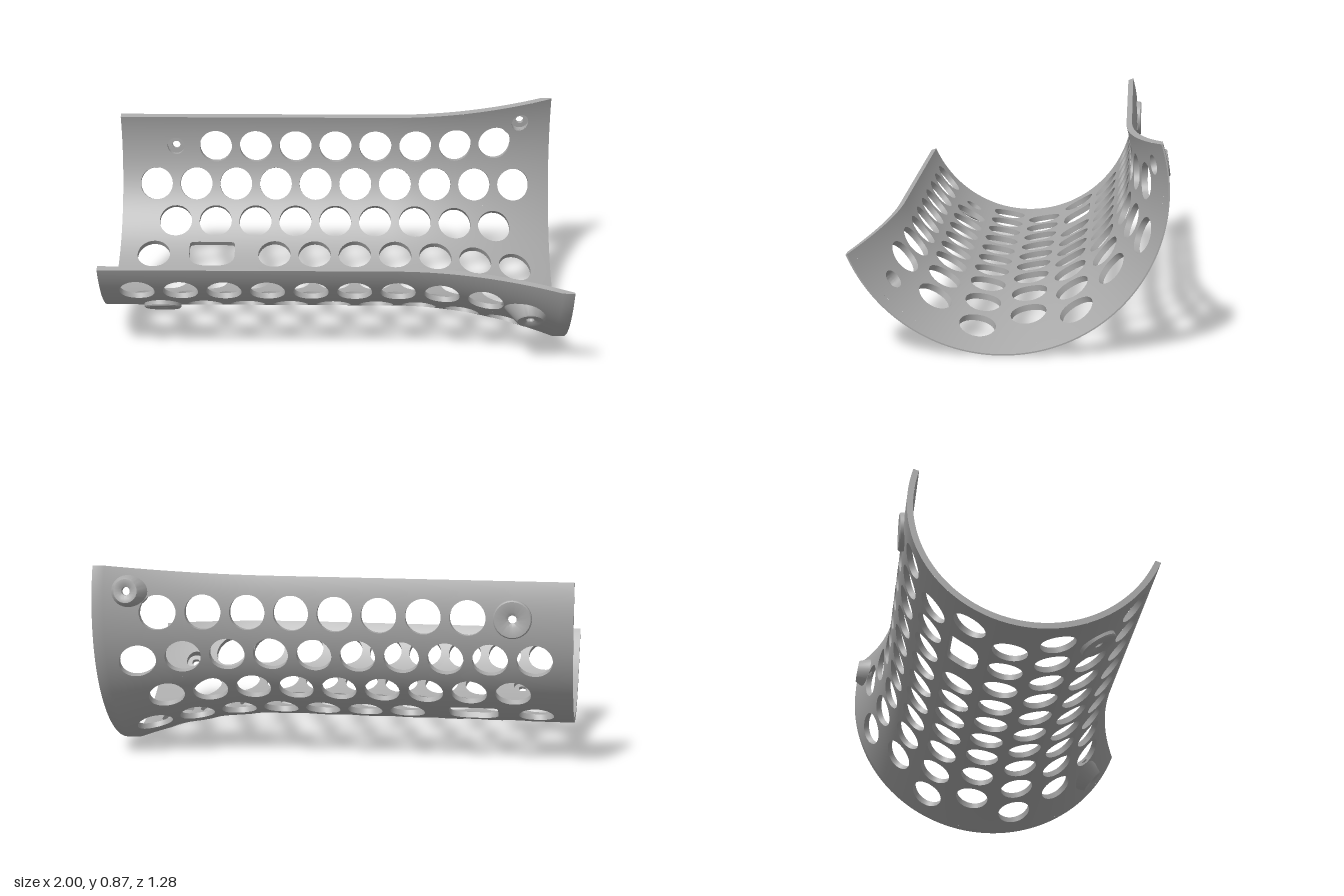
import * as THREE from 'three';
import { mergeGeometries, toCreasedNormals } from 'three/addons/utils/BufferGeometryUtils.js';

const { lerp, degToRad } = THREE.MathUtils;
const AXIS_Y = 0.665, AXIS_Z = 0.028;   // axis of the half tube
const RIM_X = 0.95, STEP = 0.1857, HOLE = 0.075, POCKET = 0.04;
const TILT = degToRad(20.3), CUT = 0.032; // tilted plane that halves the tube

// Tube radii along x: straight, then flaring, with the outside trimmed at the rim
const flare = x => 0.265 * Math.max(0, x - 0.25) ** 2;
const outer = x => 0.535 + flare(Math.min(x, RIM_X));
const inner = x => 0.51 + flare(x);
const middle = x => (outer(x) + inner(x)) / 2;

// Angle runs from the front (0) under the belly (90) to the back (180)
const at = (x, a, r) => new THREE.Vector3(x, AXIS_Y - r * Math.sin(a), AXIS_Z + r * Math.cos(a));
const lowCut = r => TILT + Math.asin(CUT / r);
const highCut = r => TILT + Math.PI - Math.asin(CUT / r);

// Surface from rows of points; normals are optional
function grid(rows, flip = false, normalAt = null) {
  const pos = [], nor = [], idx = [], w = rows[0].length;
  rows.forEach((row, i) => row.forEach((p, j) => {
    pos.push(p.x, p.y, p.z);
    if (normalAt) nor.push(...normalAt(p).toArray());
    if (i && j) {
      const d = i * w + j, c = d - 1, b = d - w, a = b - 1;
      idx.push(...(flip ? [a, d, c, a, b, d] : [a, c, d, a, d, b]));
    }
  }));
  const g = new THREE.BufferGeometry();
  g.setAttribute('position', new THREE.Float32BufferAttribute(pos, 3));
  g.setIndex(idx);
  if (normalAt) g.setAttribute('normal', new THREE.Float32BufferAttribute(nor, 3));
  else g.computeVertexNormals();
  return g;
}

// Smooth normal of the inner (sign -1) or outer (sign 1) skin
const skinNormal = sign => p => {
  const slope = sign > 0 && p.x > RIM_X + 0.0001 ? 0 : 0.53 * Math.max(0, p.x - 0.25);
  const dy = p.y - AXIS_Y, dz = p.z - AXIS_Z, r = Math.hypot(dy, dz);
  return new THREE.Vector3(-slope, dy / r, dz / r).normalize().multiplyScalar(sign);
};

// Outlines as radius by direction
const circle = r => () => r;
const slotOutline = f => {
  const p = Math.sin(f) > 0 ? 12 : 2.6;
  return (Math.abs(Math.cos(f) / 0.105) ** p + Math.abs(Math.sin(f) / 0.07) ** p) ** (-1 / p);
};

// Walk round the unit square
const square = [];
const N = 12;
for (let side = 0; side < 4; side++) {
  for (let k = 0; k < N; k++) {
    const t = k / N;
    square.push([[t, 0], [1, t], [1 - t, 1], [0, 1 - t]][side]);
  }
}
square.push([0, 0]);

// One patch of the shell pierced by one hole
function cell(x0, x1, a0, a1, hole) {
  const parts = [], loops = [];
  for (const [radius, sign] of [[outer, 1], [inner, -1]]) {
    const rc = radius(hole.x);
    const ends = square.map(([u, v]) => {
      const x = lerp(x0, x1, u), r = radius(x);
      return [x, lerp(Math.max(a0, lowCut(r)), Math.min(a1, highCut(r)), v)];
    });
    const starts = ends.map(([x, a]) => {
      const f = Math.atan2((a - hole.a) * rc, x - hole.x), R = hole.outline(f);
      return [hole.x + R * Math.cos(f), hole.a + Math.asin(R * Math.sin(f) / rc)];
    });
    const rows = [0, 0.25, 0.5, 0.75, 1].map(t => ends.map(([ex, ea], j) => {
      const x = lerp(starts[j][0], ex, t);
      return at(x, lerp(starts[j][1], ea, t), radius(x));
    }));
    parts.push(grid(rows, sign > 0, skinNormal(sign)));
    loops.push(rows[0]);
  }
  parts.push(grid(loops));
  return parts;
}

function buildShell(rows) {
  const parts = [];
  rows.forEach((holes, i) => {
    const a0 = i === 0 ? 0 : degToRad(30 + 20 * i);
    const a1 = i === rows.length - 1 ? 4 : degToRad(50 + 20 * i);
    let x0 = -1;
    holes.forEach((h, j) => {
      const next = holes[j + 1];
      const x1 = next ? (h.x + h.half + next.x - next.half) / 2 : RIM_X;
      parts.push(...cell(x0, x1, a0, a1, h));
      x0 = x1;
    });
  });
  // Line across the tube from cut to cut
  const across = (x, radius) => Array.from({ length: 97 }, (_, k) => {
    const r = radius(x);
    return at(x, lerp(lowCut(r), highCut(r), k / 96), r);
  });
  // Plain rim band and the two end faces
  parts.push(grid([across(RIM_X, outer), across(1, outer)], true, skinNormal(1)));
  parts.push(grid([across(RIM_X, inner), across(1, inner)], false, skinNormal(-1)));
  parts.push(grid([across(1, inner), across(1, outer)]));
  parts.push(grid([across(-1, inner), across(-1, outer)], true));
  // Long cut faces
  const along = (radius, cut) => Array.from({ length: 81 }, (_, k) => {
    const x = -1 + k / 40, r = radius(x);
    return at(x, cut(r), r);
  });
  parts.push(grid([along(inner, lowCut), along(outer, lowCut)]));
  parts.push(grid([along(outer, highCut), along(inner, highCut)]));
  return mergeGeometries(parts);
}

// Screw boss: pad outside, pocket inside, small through hole; height 0 means "on the shell"
function buildBoss({ x, a, top, floor, topR, baseR, tail }) {
  const profile = [[0.018, floor], [POCKET, floor], [POCKET, 0], [baseR, 0], [topR, top - 0.005],
    [topR - 0.005, top], [0.033, top], [0.018, top - 0.008], [0.018, floor]];
  const g = new THREE.LatheGeometry(profile.map(p => new THREE.Vector2(...p)), 40);
  const p = g.attributes.position;
  for (let i = 0; i < p.count; i++) {
    if (p.getY(i) !== 0) continue;
    let lx = p.getX(i), lz = p.getZ(i);
    const r = Math.hypot(lx, lz);
    if (r > POCKET + 0.01) {
      const s = 1 + tail * Math.max(0, -lx / r) ** 4;
      lx *= s;
      lz *= s;
    }
    p.setXYZ(i, lx, Math.sqrt(middle(x + lx) ** 2 - lz * lz), lz);
  }
  const X = new THREE.Vector3(1, 0, 0);
  const Y = new THREE.Vector3(0, -Math.sin(a), Math.cos(a));
  const m = new THREE.Matrix4().makeBasis(X, Y, X.clone().cross(Y)).setPosition(x, AXIS_Y, AXIS_Z);
  return toCreasedNormals(g.applyMatrix4(m), 0.5);
}

export function createModel() {
  const model = new THREE.Group();
  const grey = new THREE.MeshStandardMaterial({ color: 0xa8a8a8 });
  grey.name = 'grey';

  const pad = { top: 0.553, floor: 0.53, topR: 0.08, baseR: 0.081, tail: 0 };
  const bosses = {
    frontPadBoss: { x: -0.75, a: degToRad(60), ...pad },
    backPadBoss: { x: -0.75, a: Math.PI, ...pad },
    frontFlareBoss: { x: 0.83, a: degToRad(42), top: 0.66, floor: 0.632, topR: 0.06, baseR: 0.08, tail: 0.5 },
    backFlareBoss: { x: 0.855, a: degToRad(188.5), top: 0.668, floor: 0.64, topR: 0.055, baseR: 0.072, tail: 0.2 },
  };

  // Staggered rows of holes every 20 degrees
  const rows = [];
  for (let i = 0; i < 8; i++) {
    const a = degToRad(40 + 20 * i), even = i % 2 === 0, row = [];
    const count = i === 0 || !even ? 9 : 10;
    for (let k = 0; k < count; k++) {
      if (i === 4 && (k === 1 || k === 2)) continue;
      if ((i === 1 || i === 7) && k === 0) continue;
      row.push({ x: (even ? -0.843 : -0.75) + k * STEP, a, half: HOLE, outline: circle(HOLE) });
    }
    rows.push(row);
  }
  // D-shaped slot and the pockets under the bosses
  rows[4].push({ x: -0.575, a: degToRad(120), half: 0.105, outline: slotOutline });
  const pocket = b => ({ x: b.x, a: b.a, half: POCKET, outline: circle(POCKET) });
  rows[0].push(pocket(bosses.frontFlareBoss));
  rows[1].push(pocket(bosses.frontPadBoss));
  rows[7].push(pocket(bosses.backPadBoss), pocket(bosses.backFlareBoss));
  rows.forEach(r => r.sort((p, q) => p.x - q.x));

  const add = (name, geometry) => {
    const mesh = new THREE.Mesh(geometry, grey);
    mesh.name = name;
    model.add(mesh);
  };
  add('perforatedShell', buildShell(rows));
  for (const [name, b] of Object.entries(bosses)) add(name, buildBoss(b));
  return model;
}
